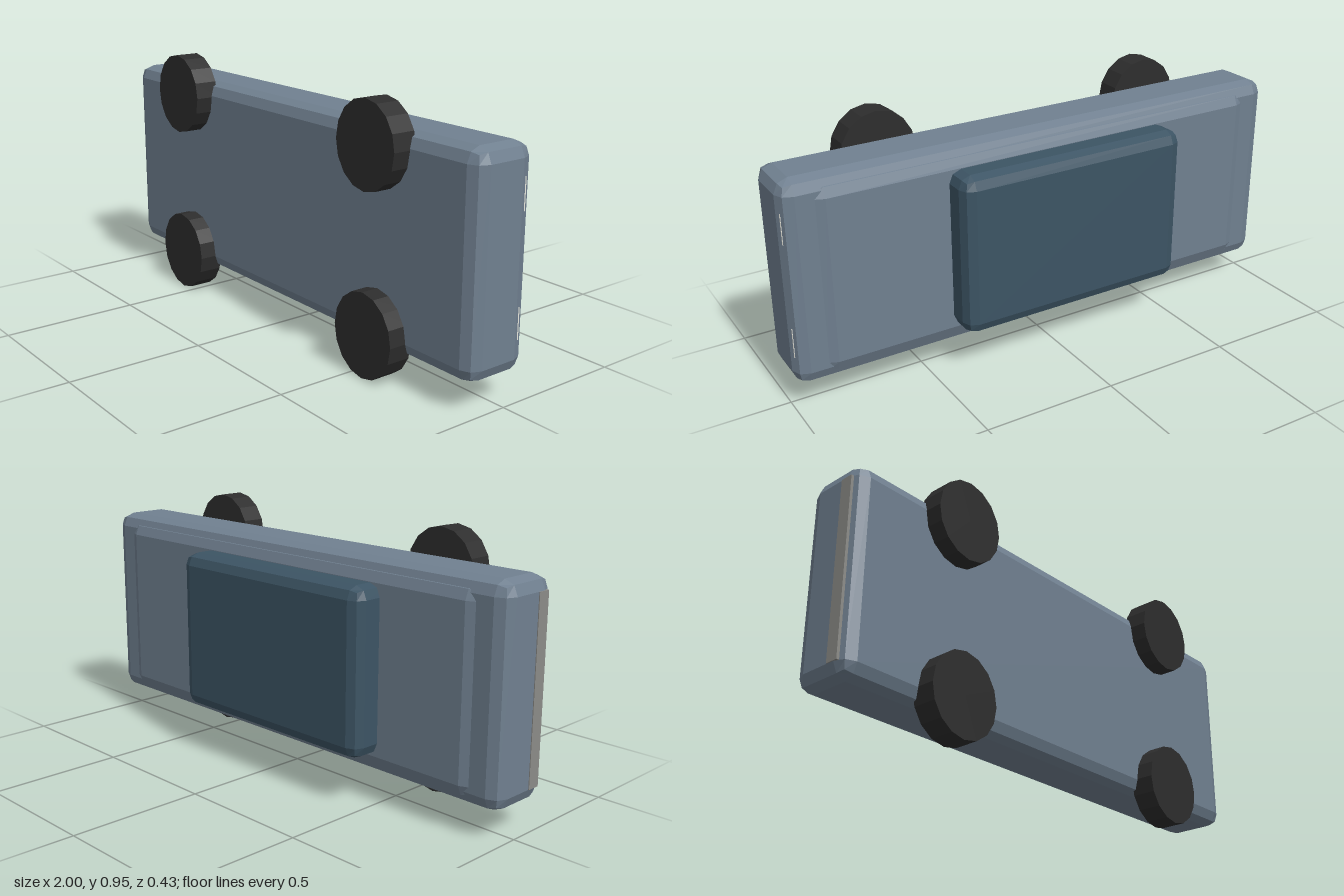
import * as THREE from 'three';
import { RoundedBoxGeometry } from 'three/addons/geometries/RoundedBoxGeometry.js';

const mat = (name, color) => {
  const m = new THREE.MeshStandardMaterial({ color, flatShading: true });
  m.name = name;
  return m;
};

export function createModel() {
  const car = new THREE.Group();
  car.name = 'car';
  const paint = mat('slate paint', 0x708090);
  const glass = mat('dark blue glass', 0x3c5464);
  const rubber = mat('black rubber', 0x2d2d2d);
  const lamp = mat('white lamp', 0xf4f4ea);
  const trim = mat('grey trim', 0x8c8c88);

  const add = (name, geometry, material, x, y, z) => {
    const mesh = new THREE.Mesh(geometry, material);
    mesh.name = name;
    mesh.position.set(x, y, z);
    car.add(mesh);
    return mesh;
  };
  // Box given by its limits on each axis; a radius chamfers all edges
  const box = (name, material, [x0, x1], [y0, y1], [z0, z1], r = 0) => {
    const s = [x1 - x0, y1 - y0, z1 - z0];
    const g = r ? new RoundedBoxGeometry(...s, 1, r) : new THREE.BoxGeometry(...s);
    return add(name, g, material, (x0 + x1) / 2, (y0 + y1) / 2, (z0 + z1) / 2);
  };

  // Car lies on its side: roof towards -z, wheels towards +z
  box('body', paint, [-0.997, 0.997], [0.1, 0.85], [-0.092, 0.15], 0.05);
  box('upperDeck', paint, [-0.9, 0.9], [0.12, 0.825], [-0.105, 0.03], 0.05);
  box('cabin', glass, [-0.5, 0.41], [0.175, 0.773], [-0.214, 0.0], 0.045);

  // Rear bumper strip and the two lamps, both nearly flush with the ends
  box('rearBumper', trim, [-1.0, -0.98], [0.15, 0.8], [0.07, 0.118]);
  for (const y of [0.265, 0.685]) {
    box('headlight', lamp, [0.96, 0.9905], [y - 0.055, y + 0.055], [-0.0625, -0.02]);
  }

  // Four wheels
  const wheelGeo = new THREE.CylinderGeometry(0.152, 0.152, 0.09, 16);
  wheelGeo.rotateX(Math.PI / 2);
  wheelGeo.scale(0.93, 1, 1);
  for (const x of [-0.5625, 0.5625]) {
    for (const y of [0.152, 0.795]) add('wheel', wheelGeo, rubber, x, y, 0.17);
  }
  return car;
}
